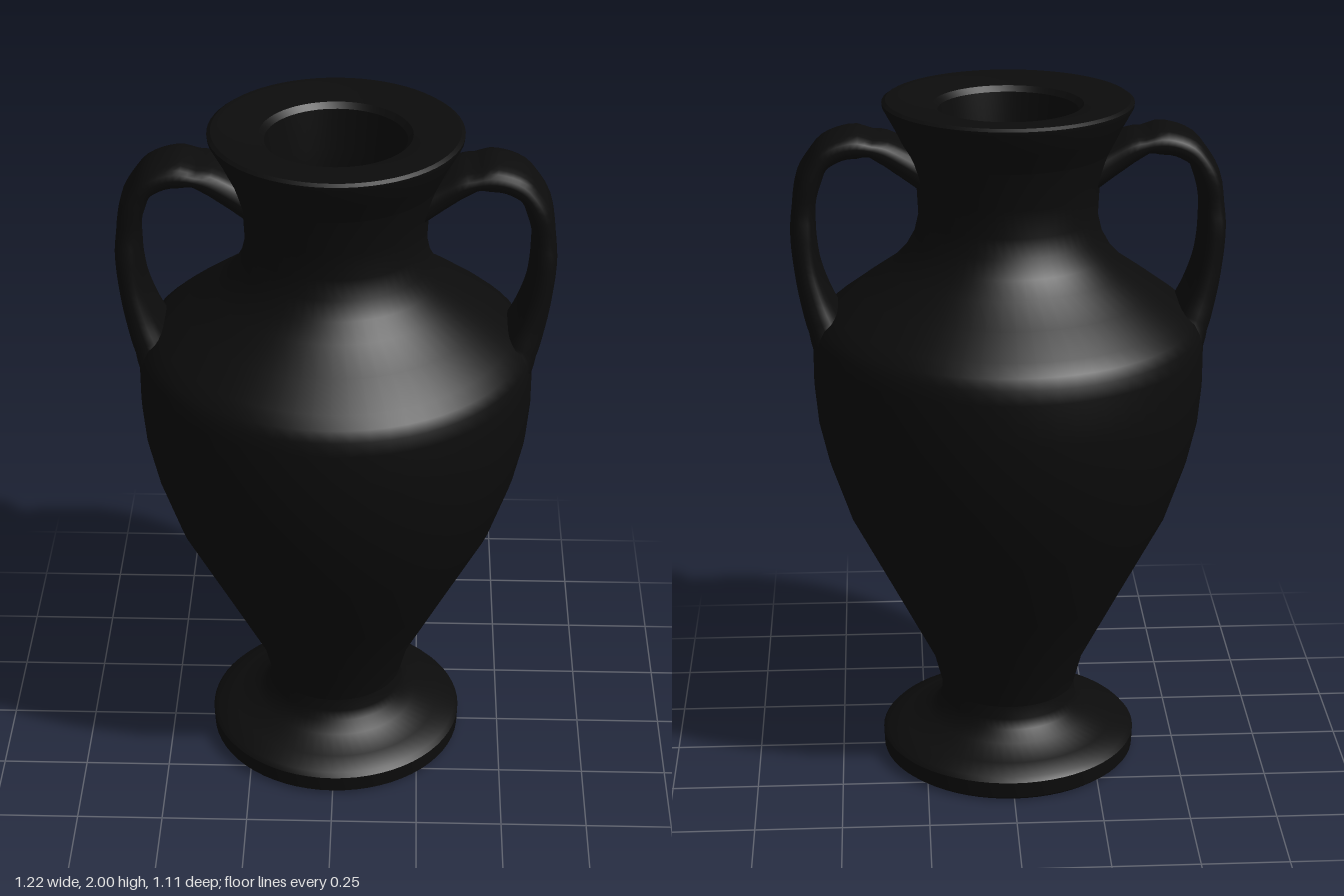
import * as THREE from 'three';
import { toCreasedNormals } from 'three/addons/utils/BufferGeometryUtils.js';

// Strap handle: rounded cross-sections swept along a path in the xy plane.
// Each station is [x, y, half thickness, half width].
function strapGeometry(stations, steps = 44, sides = 20) {
  const path = new THREE.CatmullRomCurve3(stations.map(([x, y]) => new THREE.Vector3(x, y, 0)));
  const size = new THREE.CatmullRomCurve3(stations.map(([, , t, w]) => new THREE.Vector3(t, w, 0)));
  const round = (v) => Math.sign(v) * Math.abs(v) ** 0.7;
  const positions = [], index = [];
  for (let i = 0; i <= steps; i++) {
    const u = i / steps;
    const c = path.getPoint(u), s = size.getPoint(u), d = path.getTangent(u);
    for (let j = 0; j < sides; j++) {
      const a = (j / sides) * Math.PI * 2;
      const n = round(Math.cos(a)) * s.x;
      positions.push(c.x - d.y * n, c.y + d.x * n, round(Math.sin(a)) * s.y);
      if (i < steps) {
        const p = i * sides + j, q = i * sides + ((j + 1) % sides);
        index.push(p, q, p + sides, q, q + sides, p + sides);
      }
    }
  }
  const geometry = new THREE.BufferGeometry();
  geometry.setAttribute('position', new THREE.Float32BufferAttribute(positions, 3));
  geometry.setIndex(index);
  geometry.computeVertexNormals();
  return geometry;
}

export function createModel() {
  const group = new THREE.Group();
  group.name = 'amphora';
  const black = new THREE.MeshStandardMaterial({ color: 0x0c0c0c });
  black.name = 'black glaze';

  const lathe = (name, profile) => {
    const points = profile.map(([r, y]) => new THREE.Vector2(r, y));
    const geometry = toCreasedNormals(new THREE.LatheGeometry(points, 64), 0.6);
    const mesh = new THREE.Mesh(geometry, black);
    mesh.name = name;
    group.add(mesh);
  };

  // Foot with a rounded disc edge and a short stem
  lathe('foot', [
    [0, 0], [0.36, 0], [0.375, 0.012], [0.377, 0.06], [0.365, 0.073], [0.31, 0.09],
    [0.24, 0.117], [0.21, 0.145], [0.2, 0.175], [0.198, 0.215],
  ]);

  // Belly, shoulder and neck
  lathe('body', [
    [0.198, 0.215], [0.223, 0.31], [0.34, 0.54], [0.463, 0.78], [0.52, 0.95], [0.547, 1.07],
    [0.557, 1.18], [0.557, 1.3], [0.55, 1.34], [0.535, 1.37], [0.5, 1.4], [0.42, 1.46],
    [0.335, 1.52], [0.293, 1.565], [0.265, 1.615], [0.252, 1.67], [0.256, 1.75], [0.286, 1.86],
  ]);

  // Flared mouth with a broad lip
  lathe('lip', [
    [0.286, 1.86], [0.315, 1.92], [0.349, 1.982], [0.35, 1.993], [0.34, 2], [0.325, 2],
    [0.21, 1.985], [0.195, 1.97],
  ]);

  // Hollow inside, running down to a small floor
  lathe('interior', [
    [0.195, 1.97], [0.185, 1.85], [0.18, 1.67], [0.27, 1.5], [0.48, 1.32], [0.48, 1.13],
    [0.4, 0.8], [0.17, 0.36], [0.115, 0.29], [0, 0.29],
  ]);

  // Two mirrored strap handles from neck to shoulder
  const strap = strapGeometry([
    [0.22, 1.79, 0.048, 0.105], [0.29, 1.835, 0.043, 0.1], [0.36, 1.873, 0.037, 0.1],
    [0.44, 1.883, 0.037, 0.1], [0.51, 1.855, 0.036, 0.1], [0.555, 1.785, 0.036, 0.1],
    [0.575, 1.66, 0.036, 0.1], [0.568, 1.54, 0.037, 0.102], [0.545, 1.44, 0.045, 0.11],
    [0.512, 1.35, 0.055, 0.125], [0.47, 1.27, 0.055, 0.125],
  ]);
  ['leftHandle', 'rightHandle'].forEach((name, i) => {
    const handle = new THREE.Mesh(strap, black);
    handle.name = name;
    handle.rotation.y = i * Math.PI;
    group.add(handle);
  });

  return group;
}
